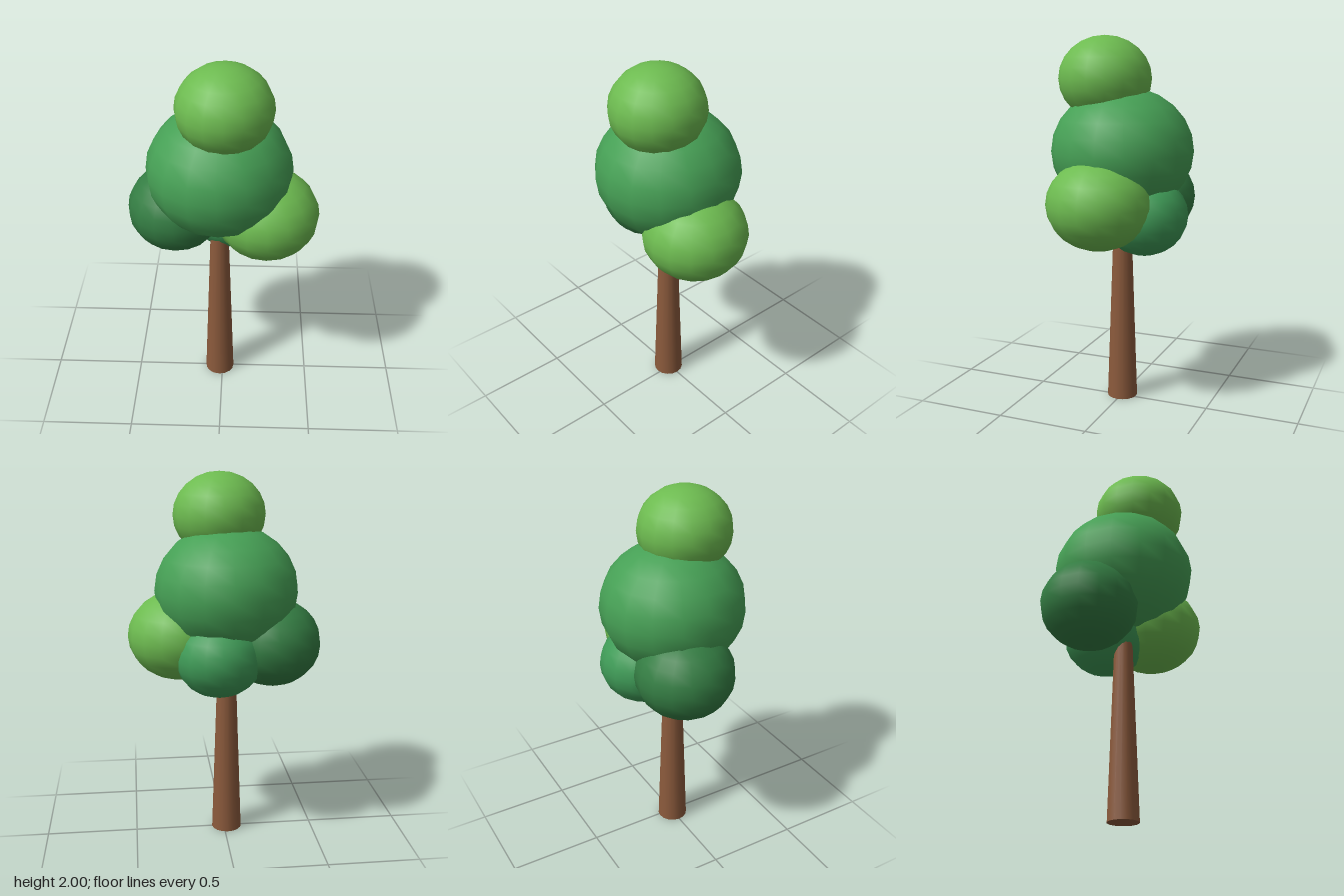
import * as THREE from 'three';

export function createModel() {
  const tree = new THREE.Group();
  tree.name = 'tree';

  const addPart = (name, geometry, color, x, y, z) => {
    const mesh = new THREE.Mesh(geometry, new THREE.MeshStandardMaterial({ color }));
    mesh.name = name;
    mesh.position.set(x, y, z);
    tree.add(mesh);
    return mesh;
  };

  // Tapered trunk, its top hidden inside the foliage
  const trunkHeight = 1.08;
  addPart('trunk', new THREE.CylinderGeometry(0.046, 0.083, trunkHeight, 16),
    0x8b5a3c, -0.016, trunkHeight / 2, 0);

  // Slightly flattened foliage balls: name, colour, centre, radius, half height
  const foliage = [
    ['crownFoliage', 0x46a055, -0.016, 1.39, 0, 0.384, 0.346],
    ['topFoliage', 0x6dbb50, 0.013, 1.775, 0.088, 0.248, 0.225],
    ['leftFoliage', 0x6dbb50, 0.237, 1.14, 0.03, 0.278, 0.241],
    ['rightFoliage', 0x347d43, -0.253, 1.113, -0.065, 0.262, 0.237],
    ['backFoliage', 0x3f9b57, 0.04, 1.06, -0.147, 0.235, 0.214],
  ];
  const ball = new THREE.SphereGeometry(1, 16, 12);
  for (const [name, color, x, y, z, radius, halfHeight] of foliage) {
    addPart(name, ball, color, x, y, z).scale.set(radius, halfHeight, radius);
  }

  return tree;
}
